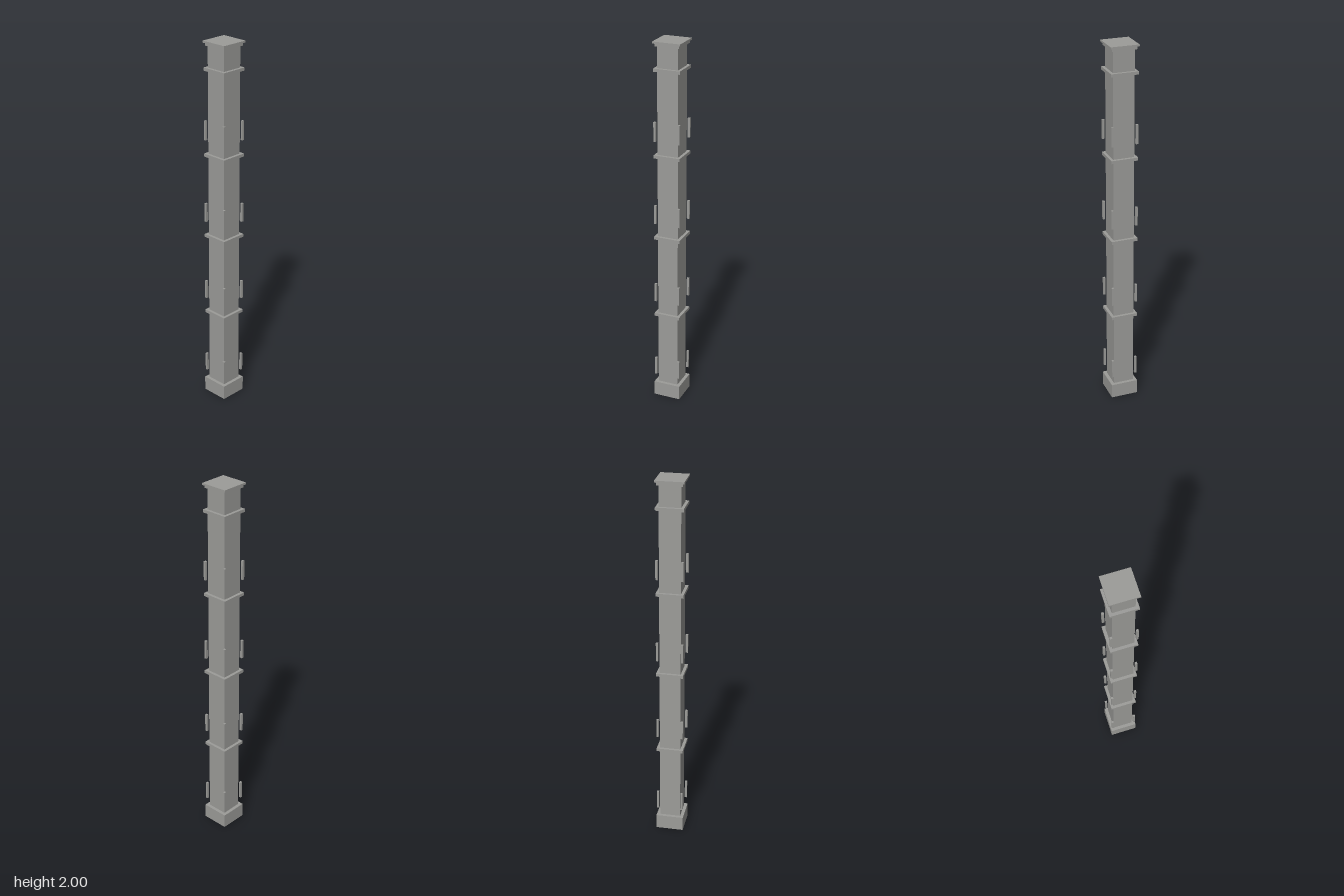
import * as THREE from 'three';

export function createModel() {
  const group = new THREE.Group();
  group.name = 'squareColumn';
  const stone = new THREE.MeshStandardMaterial({ color: 0x9c9c99, side: THREE.DoubleSide });
  stone.name = 'grey stone';

  // Square block of half-width h between two heights
  function block(name, h, y0, y1, x = 0, z = 0) {
    const mesh = new THREE.Mesh(new THREE.BoxGeometry(h * 2, y1 - y0, h * 2), stone);
    mesh.name = name;
    mesh.position.set(x, (y0 + y1) / 2, z);
    group.add(mesh);
    return mesh;
  }

  // Plinth: hollow, open underneath (box face 3 is the bottom)
  const plinth = block('plinth', 0.0745, 0, 0.08).geometry;
  const index = Array.from(plinth.index.array);
  index.splice(18, 6);
  plinth.setIndex(index);
  plinth.clearGroups();

  block('shaft', 0.0565, 0.08, 1.98);

  // Four storeys, each with a band on top and a slim bar off every corner
  const step = 0.452;
  for (let i = 0; i < 4; i++) {
    const y = i * step;
    block('band', 0.072, 0.493 + y, 0.509 + y);
    for (const sx of [-1, 1]) {
      for (const sz of [-1, 1]) {
        block('cornerBar', 0.006, 0.13 + y, 0.233 + y, sx * 0.066, sz * 0.066);
      }
    }
  }

  // Stepped cap
  block('capMoulding', 0.066, 1.975, 1.99);
  block('capSlab', 0.0745, 1.99, 2);

  return group;
}
